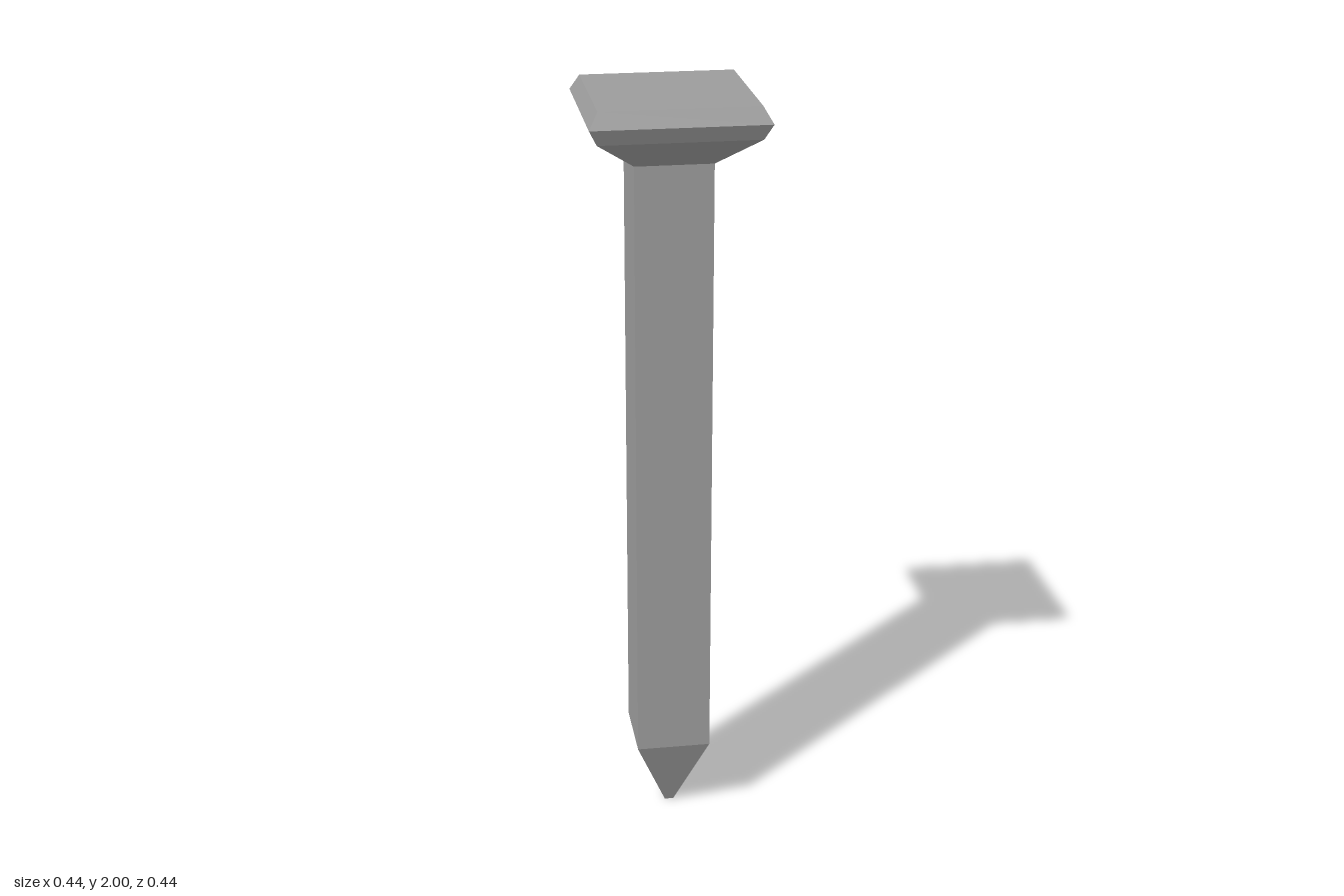
import * as THREE from 'three';

const material = new THREE.MeshStandardMaterial({ color: 0x9c9c9c, flatShading: true });

// Square-section solid from [halfWidth, y] pairs, listed bottom to top
function squareProfile(name, profile) {
  const points = profile.map(([half, y]) => new THREE.Vector2(half * Math.SQRT2, y));
  const geometry = new THREE.LatheGeometry(points, 4, Math.PI / 4).toNonIndexed();
  geometry.computeVertexNormals();
  const mesh = new THREE.Mesh(geometry, material);
  mesh.name = name;
  return mesh;
}

export function createModel() {
  const nail = new THREE.Group();
  nail.name = 'nail';

  // Tapered point with a small blunt end
  nail.add(squareProfile('tip', [[0, 0], [0.012, 0], [0.098, 0.22]]));

  // Straight square shank
  nail.add(squareProfile('shank', [[0.098, 0.22], [0.098, 1.84]]));

  // Flared head with a bevelled rim and flat top
  nail.add(squareProfile('head', [
    [0.098, 1.84], [0.198, 1.92], [0.218, 1.96], [0.195, 2], [0, 2],
  ]));

  return nail;
}
